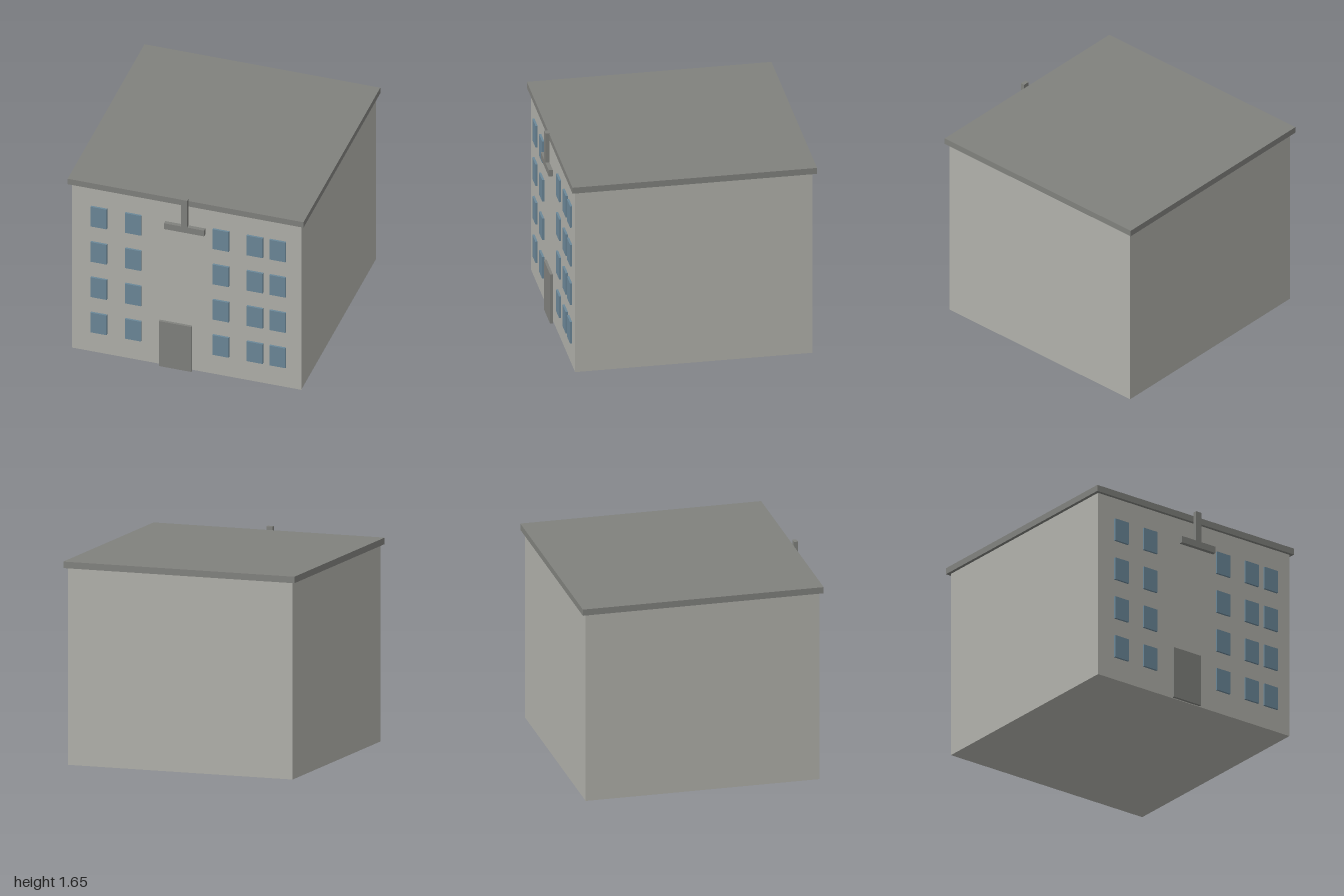
import * as THREE from 'three';

export function createModel() {
  const model = new THREE.Group();
  model.name = 'apartmentBlock';

  const material = (name, color) => {
    const m = new THREE.MeshStandardMaterial({ color });
    m.name = name;
    return m;
  };
  const plaster = material('pale grey plaster', 0xb0b0aa);
  const slate = material('dark grey', 0x80817d);
  const glass = material('blue grey glass', 0x6b8798);

  // Box given by its lower and upper limits on each axis
  const box = (name, mat, [x0, x1], [y0, y1], [z0, z1], parent = model) => {
    const mesh = new THREE.Mesh(new THREE.BoxGeometry(x1 - x0, y1 - y0, z1 - z0), mat);
    mesh.position.set((x0 + x1) / 2, (y0 + y1) / 2, (z0 + z1) / 2);
    mesh.name = name;
    parent.add(mesh);
  };

  // Main block with an overhanging flat roof
  box('walls', plaster, [-0.95, 0.95], [0, 1.576], [-0.97, 0.935]);
  box('roof', slate, [-0.977, 0.977], [1.576, 1.628], [-1, 0.961]);

  // Entrance
  box('door', slate, [-0.22, 0.05], [0, 0.43], [0.945, 0.967]);

  // Upside-down T fixture hanging in front of the roof edge
  const fixture = new THREE.Group();
  fixture.name = 'hangingFixture';
  model.add(fixture);
  box('fixturePost', slate, [-0.026, 0.026], [1.4, 1.655], [0.967, 1], fixture);
  box('fixtureBar', slate, [-0.166, 0.166], [1.345, 1.4], [0.967, 1], fixture);

  // Windows: five uneven columns on four floors
  const windows = new THREE.Group();
  windows.name = 'windows';
  model.add(windows);
  for (const x of [-0.724, -0.439, 0.287, 0.569, 0.758]) {
    for (let floor = 0; floor < 4; floor++) {
      const y = 0.285 + floor * 0.338;
      box('window', glass, [x - 0.067, x + 0.067], [y - 0.094, y + 0.094], [0.93, 0.952], windows);
    }
  }

  return model;
}
